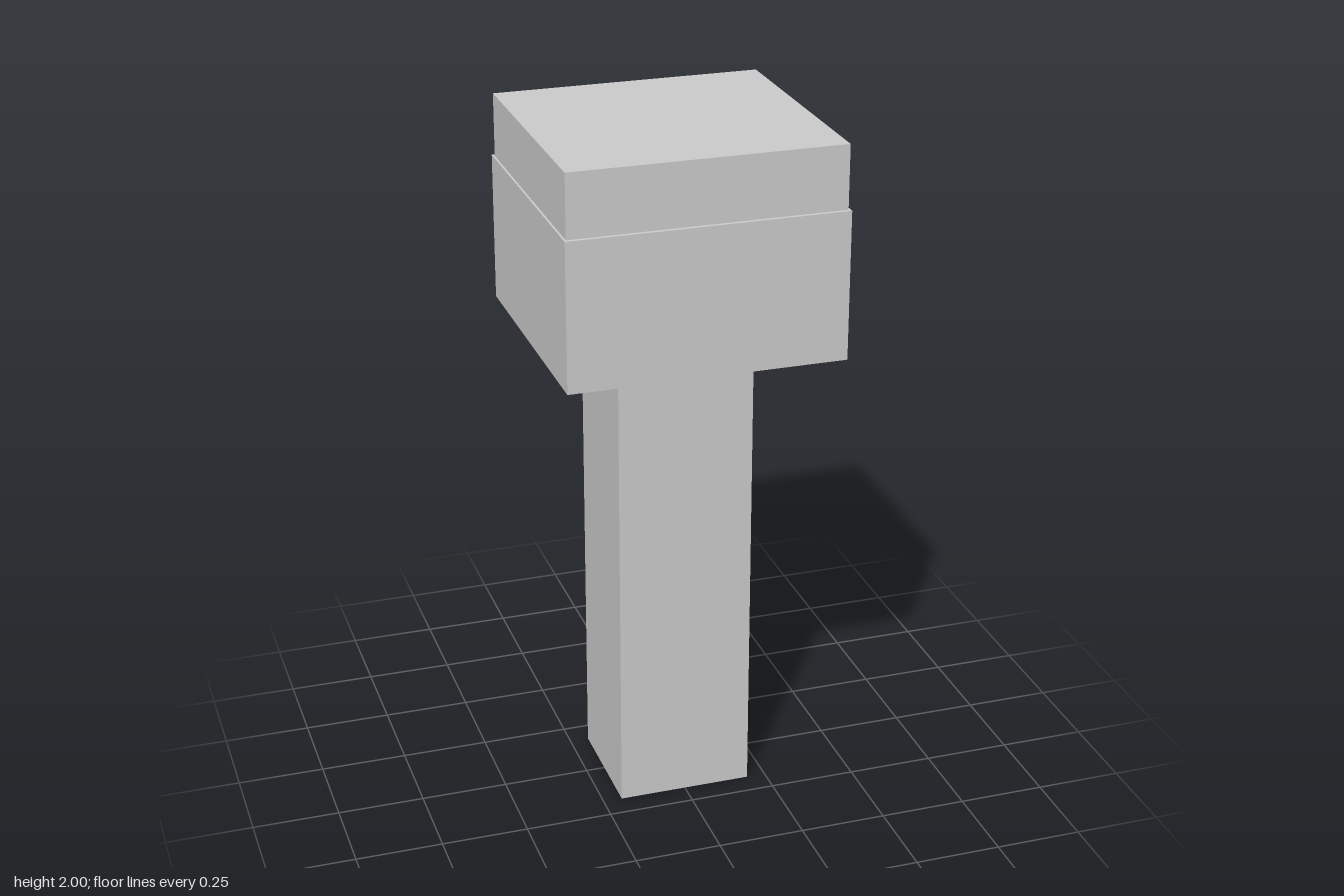
import * as THREE from 'three';

const material = new THREE.MeshStandardMaterial({ color: 0xcccccc, flatShading: true });

// Box given by its width, depth, bottom and top heights, and z offset
function block(name, width, depth, bottom, top, z = 0) {
  const mesh = new THREE.Mesh(new THREE.BoxGeometry(width, top - bottom, depth), material);
  mesh.name = name;
  mesh.position.set(0, (bottom + top) / 2, z);
  return mesh;
}

export function createModel() {
  const model = new THREE.Group();
  model.name = 'squareHeadedPost';
  model.add(
    block('shaft', 0.39, 0.355, 0, 1.397, 0.002), // long square handle
    block('head', 0.784, 0.752, 1.397, 1.82),     // wide block on the shaft
    block('cap', 0.772, 0.73, 1.82, 2),           // slightly inset top slab
  );
  return model;
}
